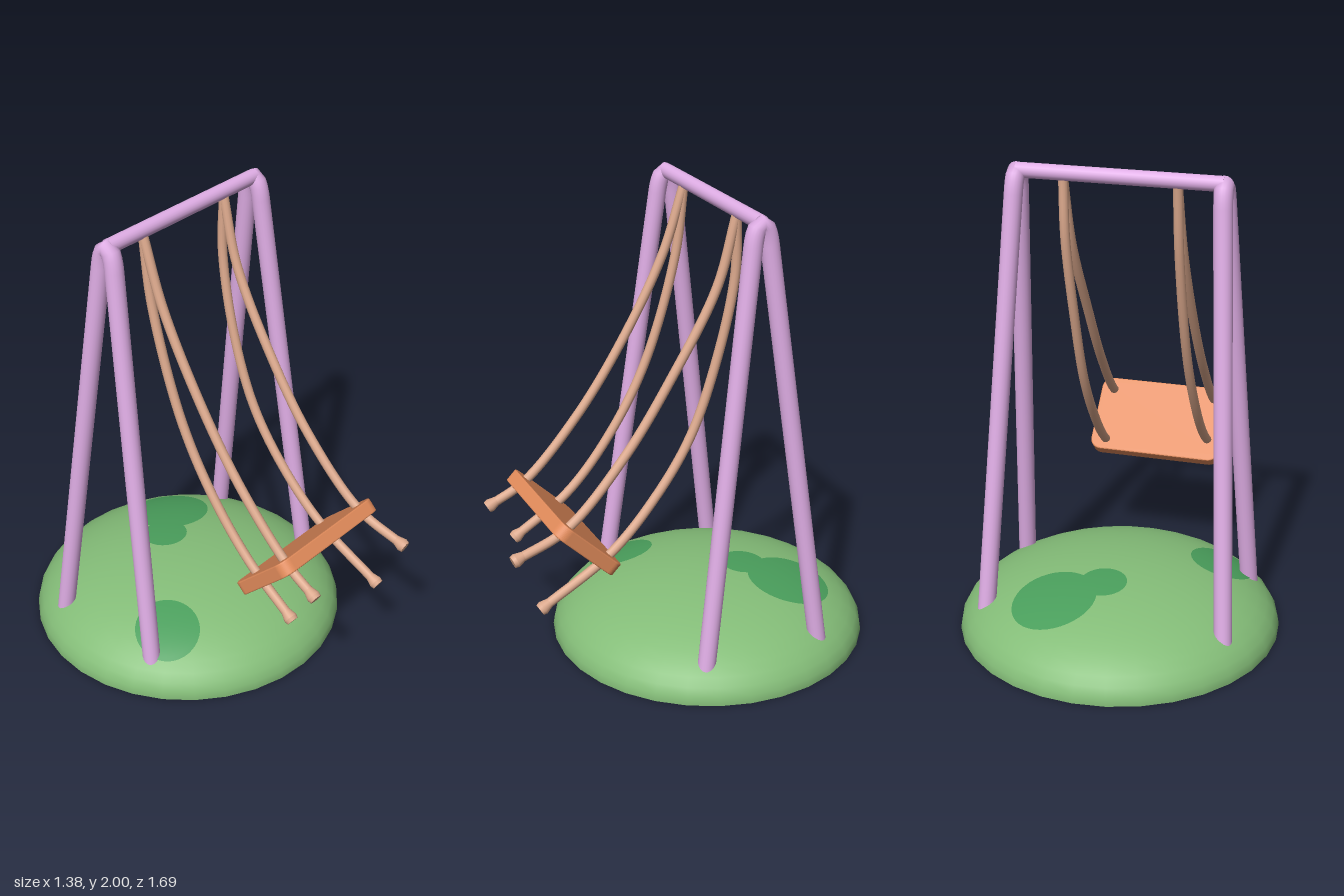
import * as THREE from 'three';

const V = (x, y, z) => new THREE.Vector3(x, y, z);
const mat = (color, side = THREE.FrontSide) => new THREE.MeshStandardMaterial({ color, side });

const MOUND = { r: 0.69, h: 0.27, z: -0.155 };
const moundHeight = (x, z) =>
  MOUND.h * Math.sqrt(Math.max(0, 1 - (x * x + (z - MOUND.z) ** 2) / MOUND.r ** 2));

function add(parent, name, geometry, material) {
  const mesh = new THREE.Mesh(geometry, material);
  mesh.name = name;
  parent.add(mesh);
  return mesh;
}

// Cylinder (or cone section) running from a to b
function rod(parent, name, a, b, ra, rb, material) {
  const dir = b.clone().sub(a);
  const mesh = add(parent, name, new THREE.CylinderGeometry(rb, ra, dir.length(), 20), material);
  mesh.position.copy(a).add(b).multiplyScalar(0.5);
  mesh.quaternion.setFromUnitVectors(V(0, 1, 0), dir.normalize());
  return mesh;
}

// Round patch of darker grass that follows the mound
function grassPatch(parent, x, z, rx, rz, lift, material) {
  const geo = new THREE.RingGeometry(0, 1, 40, 8).rotateX(-Math.PI / 2);
  geo.scale(rx, 1, rz).translate(x, 0, z);
  const p = geo.attributes.position;
  for (let i = 0; i < p.count; i++) p.setY(i, moundHeight(p.getX(i), p.getZ(i)) + lift);
  geo.computeVertexNormals();
  add(parent, 'grassPatch', geo, material);
}

// A pair of legs bent from one tube over the end of the crossbar
function legPair(parent, side, material) {
  const foot = (s) => V(side * 0.518, 0.06, MOUND.z + s * 0.272);
  const shoulder = (s) => V(side * 0.424, 1.88, MOUND.z + s * 0.036);
  const path = new THREE.CurvePath();
  path.add(new THREE.LineCurve3(foot(1), shoulder(1)));
  path.add(new THREE.CubicBezierCurve3(
    shoulder(1), V(side * 0.419, 1.99, MOUND.z + 0.021),
    V(side * 0.419, 1.99, MOUND.z - 0.021), shoulder(-1)));
  path.add(new THREE.LineCurve3(shoulder(-1), foot(-1)));
  const group = new THREE.Group();
  group.name = side > 0 ? 'leftLegs' : 'rightLegs';
  add(group, 'legTube', new THREE.TubeGeometry(path, 160, 0.038, 20), material);
  for (const s of [1, -1]) {
    const top = foot(s).lerp(shoulder(s), 0.01);
    rod(group, 'legFoot', foot(s), top, 0.038, 0.038, material);
  }
  parent.add(group);
}

// Sagging rope through the seat, with a flared end
function rope(parent, points, material) {
  const curve = new THREE.CatmullRomCurve3(points.map((p) => V(...p)), false, 'centripetal');
  const group = new THREE.Group();
  group.name = 'rope';
  add(group, 'ropeStrand', new THREE.TubeGeometry(curve, 64, 0.02, 12), material);
  const end = curve.getPointAt(1);
  const tangent = curve.getTangentAt(1);
  rod(group, 'ropeEnd', end.clone().addScaledVector(tangent, -0.035), end, 0.019, 0.029, material);
  rod(group, 'ropeEndCap', end, end.clone().addScaledVector(tangent, 0.016), 0.029, 0.025, material);
  parent.add(group);
}

function roundedRect(w, h, r) {
  const s = new THREE.Shape();
  const x = w / 2 - r, y = h / 2 - r;
  s.absarc(x, y, r, 0, Math.PI / 2);
  s.absarc(-x, y, r, Math.PI / 2, Math.PI);
  s.absarc(-x, -y, r, Math.PI, Math.PI * 1.5);
  s.absarc(x, -y, r, Math.PI * 1.5, Math.PI * 2);
  s.closePath();
  return s;
}

export function createModel() {
  const model = new THREE.Group();
  model.name = 'gardenSwing';
  const purple = mat(0xe0aee6);
  const tan = mat(0xdba88c);

  // Hollow grass mound with darker patches
  const dome = new THREE.SphereGeometry(1, 32, 12, 0, Math.PI * 2, 0, Math.PI / 2);
  dome.scale(MOUND.r, MOUND.h, MOUND.r).translate(0, 0, MOUND.z);
  add(model, 'mound', dome, mat(0x84bd78, THREE.DoubleSide));
  const grass = mat(0x4a9f5c);
  grassPatch(model, 0.2, -0.455, 0.178, 0.18, 0.005, grass);
  grassPatch(model, 0.025, -0.32, 0.1, 0.1, 0.003, grass);
  grassPatch(model, -0.395, 0.09, 0.135, 0.145, 0.005, grass);

  // Frame
  for (const side of [1, -1]) legPair(model, side, purple);
  rod(model, 'crossbar', V(-0.42, 1.967, MOUND.z), V(0.42, 1.967, MOUND.z), 0.031, 0.031, purple);

  // Tilted seat board
  const board = new THREE.ExtrudeGeometry(roundedRect(0.59, 0.345, 0.045), {
    depth: 0.05, bevelEnabled: true, bevelSize: 0.005, bevelThickness: 0.005,
    bevelSegments: 2, curveSegments: 8,
  });
  board.translate(0, 0, -0.025);
  const seat = add(model, 'seat', board, mat(0xe08a5a));
  seat.position.set(0, 0.652, 0.525);
  seat.rotation.x = Math.PI / 4;

  // Ropes: front and back, on each side
  rope(model, [[-0.235, 1.95, -0.15], [-0.235, 1.66, -0.05], [-0.235, 1.31, 0.14],
    [-0.235, 1.01, 0.35], [-0.235, 0.75, 0.6], [-0.245, 0.665, 0.755]], tan);
  rope(model, [[0.23, 1.95, -0.15], [0.225, 1.66, -0.07], [0.22, 1.31, 0.125],
    [0.225, 1.01, 0.335], [0.24, 0.75, 0.6], [0.253, 0.668, 0.825]], tan);
  rope(model, [[-0.235, 1.95, -0.15], [-0.235, 1.65, -0.11], [-0.235, 1.2, 0.03],
    [-0.235, 0.91, 0.19], [-0.235, 0.66, 0.4], [-0.247, 0.49, 0.645]], tan);
  rope(model, [[0.23, 1.95, -0.15], [0.225, 1.7, -0.15], [0.215, 1.34, -0.075],
    [0.215, 1.03, 0.04], [0.22, 0.8, 0.195], [0.23, 0.59, 0.405], [0.24, 0.415, 0.715]], tan);

  return model;
}
